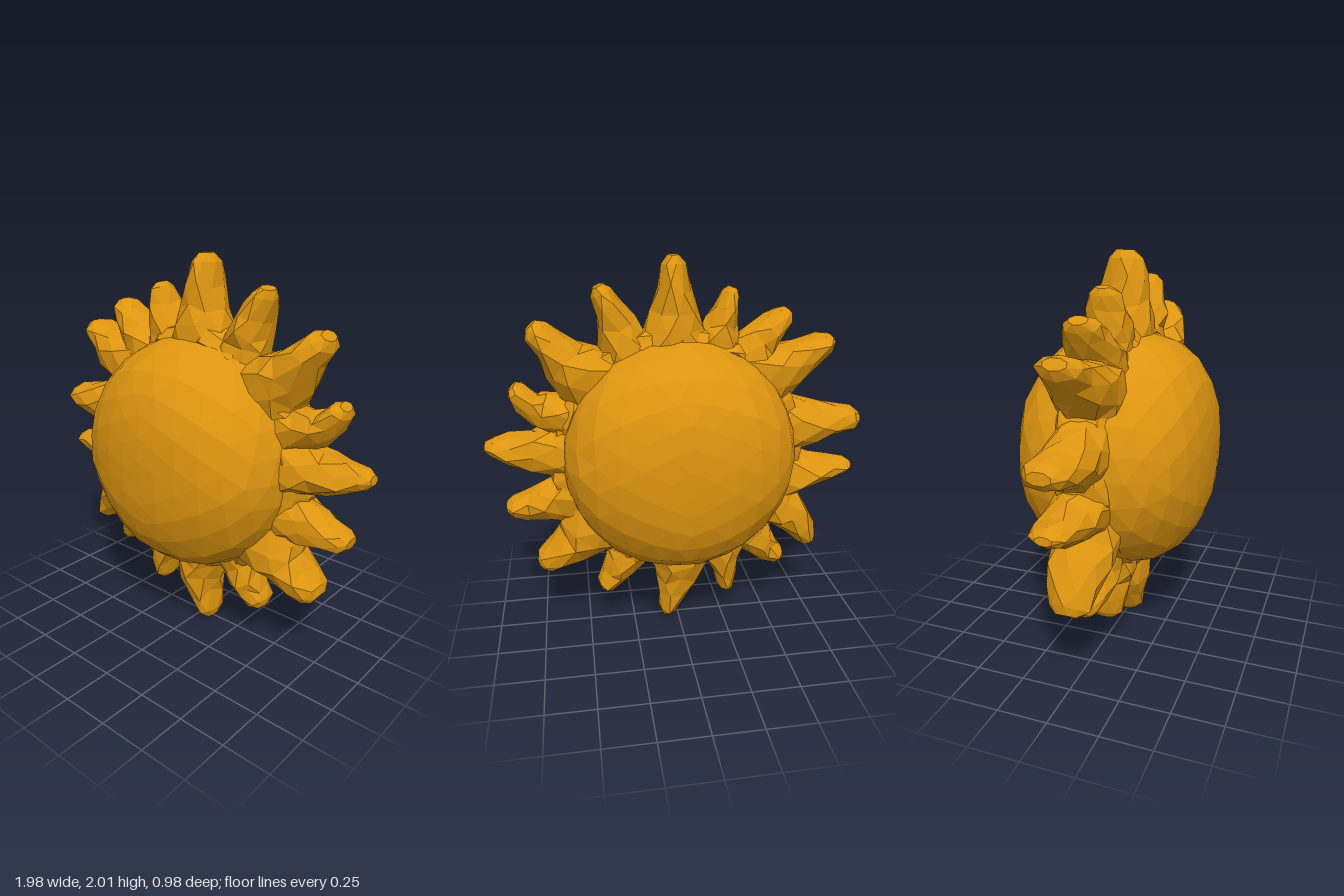
import * as THREE from 'three';

// small repeatable random source for the hand-carved look
let seed = 7;
const rand = () => {
  seed = (seed * 16807) % 2147483647;
  return seed / 2147483647 - 0.5;
};

// one row per ray: root x,y  middle x,y  tip x,y
const RAY_PATHS = [
  [0.01, 1.5, 0.015, 1.74, 0.02, 2.0],
  [0.23, 1.46, 0.3, 1.66, 0.39, 1.86],
  [0.4, 1.36, 0.56, 1.5, 0.72, 1.68],
  [0.48, 1.2, 0.7, 1.25, 0.83, 1.38],
  [0.5, 1.05, 0.74, 1.04, 0.99, 1.07],
  [0.5, 0.8, 0.7, 0.75, 0.905, 0.73],
  [0.42, 0.64, 0.58, 0.5, 0.75, 0.38],
  [0.25, 0.52, 0.32, 0.35, 0.42, 0.2],
  [0.0, 0.5, 0.0, 0.25, 0.07, 0.0],
  [-0.22, 0.53, -0.26, 0.34, -0.28, 0.13],
  [-0.36, 0.6, -0.45, 0.43, -0.6, 0.31],
  [-0.46, 0.74, -0.63, 0.58, -0.77, 0.4],
  [-0.5, 0.85, -0.73, 0.84, -0.97, 0.86],
  [-0.5, 1.11, -0.75, 1.12, -0.99, 1.14],
  [-0.4, 1.35, -0.59, 1.45, -0.81, 1.57],
  [-0.34, 1.45, -0.43, 1.58, -0.57, 1.72],
  [-0.19, 1.48, -0.22, 1.66, -0.28, 1.84],
];
// matching root half width, tip half width, root half depth, tip half depth
const RAY_SIZES = [
  [0.23, 0.045, 0.16, 0.08], [0.18, 0.045, 0.14, 0.09], [0.22, 0.055, 0.18, 0.1],
  [0.15, 0.045, 0.14, 0.08], [0.21, 0.04, 0.17, 0.06], [0.19, 0.045, 0.14, 0.08],
  [0.21, 0.06, 0.18, 0.1], [0.17, 0.045, 0.14, 0.08], [0.23, 0.04, 0.16, 0.08],
  [0.18, 0.035, 0.15, 0.08], [0.17, 0.045, 0.14, 0.07], [0.2, 0.05, 0.17, 0.09],
  [0.2, 0.035, 0.15, 0.07], [0.21, 0.05, 0.15, 0.1], [0.22, 0.05, 0.18, 0.1],
  [0.17, 0.045, 0.15, 0.08], [0.17, 0.035, 0.14, 0.07],
];

// pillow-like ball: an icosphere pushed out to a rounded-square profile
function bodyGeometry() {
  const geo = new THREE.IcosahedronGeometry(1, 4);
  const pos = geo.attributes.position;
  const v = new THREE.Vector3();
  const n = 2.6;
  for (let i = 0; i < pos.count; i++) {
    v.fromBufferAttribute(pos, i);
    const r = Math.pow(
      Math.pow(Math.hypot(v.x, v.y) / 0.61, n) + Math.pow(Math.abs(v.z) / 0.487, n), -1 / n);
    // gentle unevenness that depends only on direction, so corners stay joined
    const dent = 1 + 0.007 * Math.sin(v.x * 17 + v.y * 11) * Math.cos(v.z * 13 - v.y * 7);
    v.multiplyScalar(r * dent);
    pos.setXYZ(i, v.x, v.y, v.z);
  }
  geo.computeVertexNormals();
  return geo;
}

// lumpy ring from which the rays grow
function rimGeometry() {
  const geo = new THREE.TorusGeometry(0.59, 0.08, 8, 40);
  const pos = geo.attributes.position;
  for (let i = 0; i < pos.count; i++) {
    const x = pos.getX(i), y = pos.getY(i), z = pos.getZ(i);
    const lump = Math.sin(x * 23 + y * 9) * Math.cos(y * 19 - x * 5 + z * 20);
    const out = 1 + 0.03 * lump;
    pos.setXYZ(i, x * out, y * out, z * (1.65 + 0.25 * lump));
  }
  geo.computeVertexNormals();
  return geo;
}

// tapered, bent, faceted ray lofted along its path
function rayGeometry([x0, y0, x1, y1, x2, y2], [w0, w1, d0, d1]) {
  const path = new THREE.CatmullRomCurve3([
    new THREE.Vector3(x0, y0, 0), new THREE.Vector3(x1, y1, 0), new THREE.Vector3(x2, y2, 0),
  ]);
  const sides = 8;
  const steps = [0, 0.3, 0.5, 0.72, 0.92, 1];
  const positions = [];
  const index = [];
  steps.forEach((t, s) => {
    const p = path.getPoint(t);
    const tan = path.getTangent(t);
    const end = s === steps.length - 1 ? 0.6 : 1;
    const w = THREE.MathUtils.lerp(w0, w1, Math.pow(t, 0.75)) * end;
    const d = THREE.MathUtils.lerp(d0, d1, t * t) * end;
    const rough = t < 1 ? 0.24 : 0.08;
    for (let k = 0; k < sides; k++) {
      const a = ((k + 0.5 * (s % 2)) / sides) * Math.PI * 2;
      const c = Math.cos(a) * w * (1 + rand() * rough);
      const z = Math.sin(a) * d * (1 + rand() * rough);
      const slide = t > 0 && t < 0.9 ? rand() * 0.06 : 0;
      positions.push(p.x - tan.y * c + tan.x * slide, p.y + tan.x * c + tan.y * slide, z);
    }
  });
  for (let s = 0; s < steps.length - 1; s++) {
    for (let k = 0; k < sides; k++) {
      const a = s * sides + k;
      const b = s * sides + ((k + 1) % sides);
      // alternate rings are turned half a side, so the diagonal alternates too
      if (s % 2) index.push(a, b, b + sides, a, b + sides, a + sides);
      else index.push(a, b, a + sides, b, b + sides, a + sides);
    }
  }
  // tip cap
  const apex = positions.length / 3;
  const last = (steps.length - 1) * sides;
  positions.push(x2, y2, 0);
  for (let k = 0; k < sides; k++) index.push(last + k, last + ((k + 1) % sides), apex);

  const geo = new THREE.BufferGeometry();
  geo.setAttribute('position', new THREE.Float32BufferAttribute(positions, 3));
  geo.setIndex(index);
  geo.computeVertexNormals();
  return geo;
}

export function createModel() {
  seed = 7;
  const gold = new THREE.MeshStandardMaterial({ color: 0xdd9510, flatShading: true });
  gold.name = 'sunGold';

  const sun = new THREE.Group();
  sun.name = 'sun';

  const body = new THREE.Mesh(bodyGeometry(), gold);
  body.name = 'body';
  body.position.y = 1;
  sun.add(body);

  const rim = new THREE.Mesh(rimGeometry(), gold);
  rim.name = 'rim';
  rim.position.y = 1;
  sun.add(rim);

  const rays = new THREE.Group();
  rays.name = 'rays';
  RAY_PATHS.forEach((path, i) => {
    const ray = new THREE.Mesh(rayGeometry(path, RAY_SIZES[i]), gold);
    ray.name = `ray${i + 1}`;
    rays.add(ray);
  });
  sun.add(rays);
  return sun;
}
